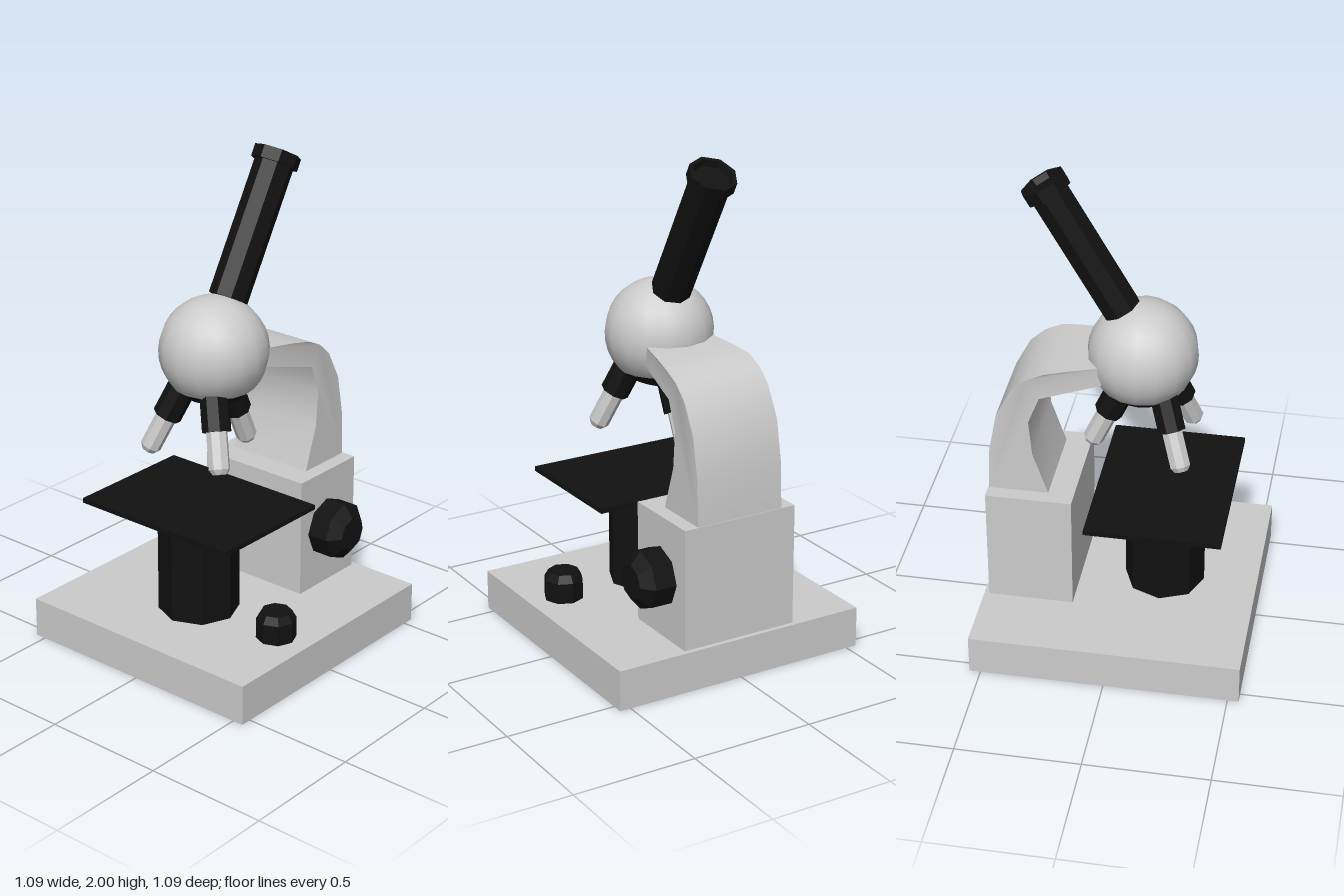
import * as THREE from 'three';
import { toCreasedNormals } from 'three/addons/utils/BufferGeometryUtils.js';

const V = (x, y, z) => new THREE.Vector3(x, y, z);

export function createModel() {
  const model = new THREE.Group();
  model.name = 'microscope';
  const grey = new THREE.MeshStandardMaterial({ color: 0xcccccc });
  const greyFlat = new THREE.MeshStandardMaterial({ color: 0xcccccc, flatShading: true });
  const black = new THREE.MeshStandardMaterial({ color: 0x111111 });
  const blackFlat = new THREE.MeshStandardMaterial({ color: 0x111111, flatShading: true });

  const add = (name, geometry, material, pos = V(0, 0, 0), parent = model) => {
    const mesh = new THREE.Mesh(geometry, material);
    mesh.name = name;
    mesh.position.copy(pos);
    parent.add(mesh);
    return mesh;
  };

  // Box given by its low and high corners
  const box = (name, lo, hi, material) => {
    const s = hi.clone().sub(lo);
    return add(name, new THREE.BoxGeometry(s.x, s.y, s.z), material, lo.clone().add(hi).multiplyScalar(0.5));
  };

  // Eight-sided turned part: profile of [radius, height], standing at pos along dir
  const turned = (name, profile, material, pos, dir = V(0, 1, 0), parent = model) => {
    const pts = profile.map(([r, h]) => new THREE.Vector2(r, h));
    const mesh = add(name, new THREE.LatheGeometry(pts, 8), material, pos, parent);
    mesh.quaternion.setFromUnitVectors(V(0, 1, 0), dir.clone().normalize());
    return mesh;
  };

  // Base with a dark underside, and the column
  box('base', V(-0.545, 0, -0.545), V(0.545, 0.165, 0.545), [grey, grey, grey, black, grey, grey]);
  box('column', V(-0.248, 0.165, -0.525), V(0.248, 0.66, -0.178), grey);

  // Stage and its pillar
  box('stage', V(-0.37, 0.61, -0.108), V(0.37, 0.63, 0.435), black);
  turned('stagePillar', [[0, 0], [0.163, 0], [0.163, 0.447], [0, 0.447]], blackFlat, V(0, 0.164, 0.163));

  // Focus knob and lamp knob
  turned('focusKnob', [[0, 0], [0.12, 0], [0.12, 0.09], [0.07, 0.133], [0, 0.133]], blackFlat,
    V(0.247, 0.415, -0.346), V(1, 0, 0));
  turned('lampKnob', [[0, 0], [0.08, 0], [0.08, 0.085], [0.062, 0.116], [0, 0.116]], blackFlat,
    V(0.396, 0.164, 0.16));

  // Curved arm: side profile of [z, y], narrowing toward the head
  const outer = [[-0.522, 0.655], [-0.515, 0.84], [-0.483, 1.01], [-0.42, 1.13], [-0.36, 1.185],
    [-0.29, 1.218], [-0.21, 1.232], [-0.09, 1.245], [-0.05, 1.245]];
  const inner = [[-0.05, 1.175], [-0.11, 1.157], [-0.31, 1.105], [-0.355, 0.99], [-0.342, 0.84], [-0.28, 0.655]];
  const shape = new THREE.Shape([...outer, ...inner].map(([z, y]) => new THREE.Vector2(-z, y)));
  const armGeometry = new THREE.ExtrudeGeometry(shape, { depth: 2, bevelEnabled: false });
  armGeometry.translate(0, 0, -1).rotateY(Math.PI / 2);
  const p = armGeometry.attributes.position;
  for (let i = 0; i < p.count; i++) {
    p.setX(i, p.getX(i) * (0.188 - 0.19 * Math.max(0, p.getZ(i) + 0.28)));
  }
  add('arm', toCreasedNormals(armGeometry, 0.7), grey);

  // Round head with a dark nosepiece below
  const headCentre = V(0, 1.245, 0.067);
  const cut = 2.3;
  add('head', new THREE.SphereGeometry(0.217, 16, 12, 0, Math.PI * 2, 0, cut), grey, headCentre);
  add('nosepiece', new THREE.SphereGeometry(0.217, 16, 3, 0, Math.PI * 2, cut, Math.PI - cut), black, headCentre);

  // Objectives: sleeve and lens along a line from the nosepiece to the tip
  const objective = (name, from, to) => {
    const group = new THREE.Group();
    group.name = name;
    model.add(group);
    const dir = to.clone().sub(from);
    const n = dir.length();
    const sleeve = n - 0.165;
    turned('sleeve', [[0, 0], [0.058, 0], [0.058, sleeve], [0, sleeve]], blackFlat, from, dir, group);
    turned('lens', [[0.042, sleeve - 0.01], [0.042, n - 0.02], [0.028, n], [0, n]], greyFlat, from, dir, group);
  };
  for (const s of [1, -1]) {
    objective(s > 0 ? 'leftObjective' : 'rightObjective', V(s * 0.073, 1.12, 0.155), V(s * 0.184, 0.83, 0.25));
  }
  objective('rearObjective', V(0, 1.12, 0.005), V(0, 0.802, -0.14));

  // Tilted eyepiece tube with a recessed rim
  const up = V(0, Math.cos(Math.PI / 6), -Math.sin(Math.PI / 6));
  const top = V(0, 1.952, -0.317);
  turned('eyepieceTube', [[0, 0], [0.079, 0], [0.079, 0.56], [0, 0.56]], blackFlat,
    top.clone().addScaledVector(up, -0.6), up);
  turned('eyepieceRim', [[0, 0], [0.095, 0], [0.095, 0.05], [0.08, 0.05], [0.072, 0.025], [0, 0.025]], blackFlat,
    top.clone().addScaledVector(up, -0.05), up);

  return model;
}
